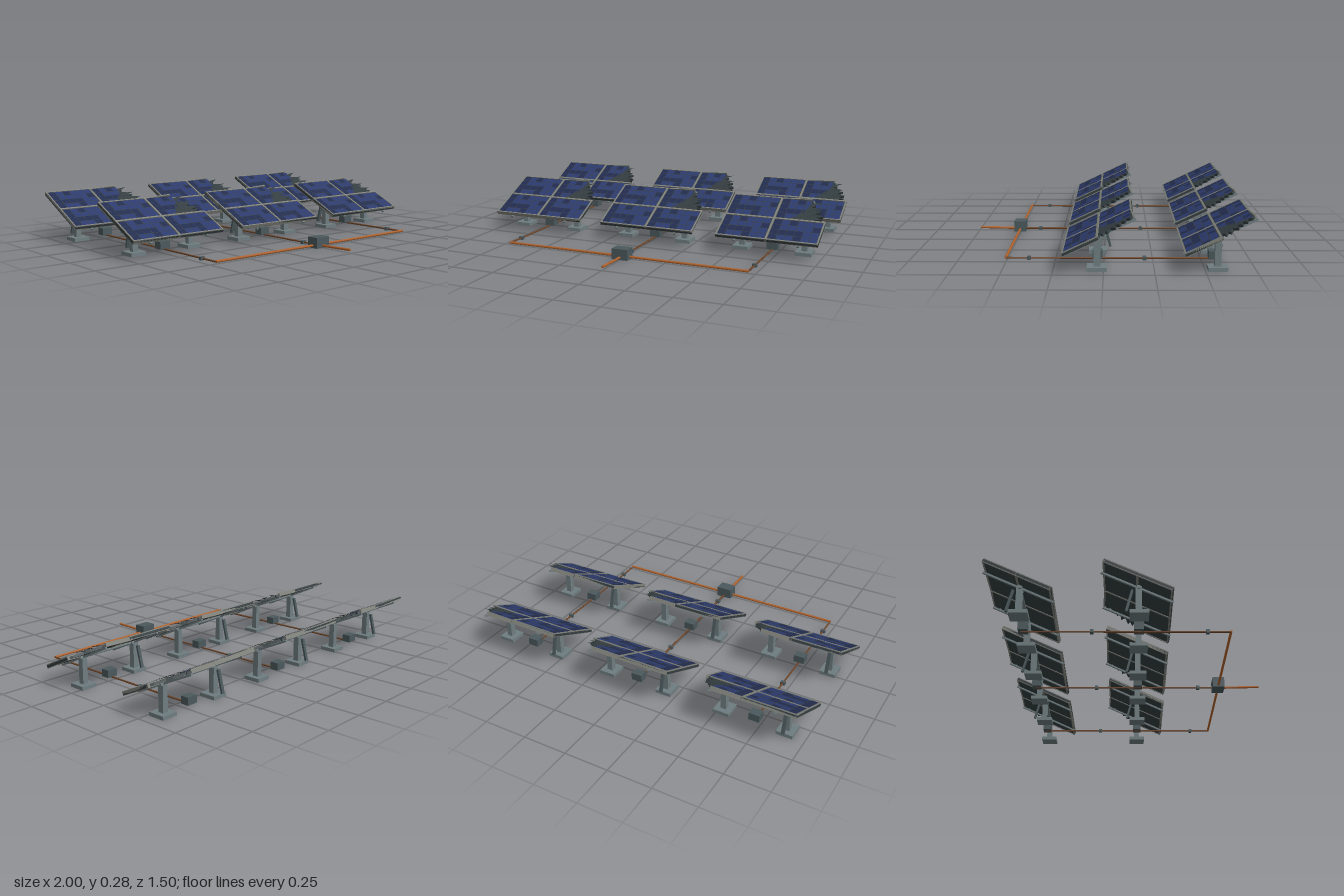
import * as THREE from 'three';
import { mergeGeometries } from 'three/addons/utils/BufferGeometryUtils.js';

const mat = (color, extra = {}) => new THREE.MeshStandardMaterial({ color, ...extra });
const steel = mat(0x6f7d80), boxGrey = mat(0x4a585c), frameGrey = mat(0x7f817a);
const backing = mat(0x343d40, { flatShading: true }), copper = mat(0xb0622c), wire = mat(0x6e4426);
const blues = [mat(0x2b3a70), mat(0x222c50)];

const HALF_W = 0.287, HALF_L = 0.19, TILT = THREE.MathUtils.degToRad(25.5);

function add(parent, name, geometry, material, x = 0, y = 0, z = 0) {
  const mesh = new THREE.Mesh(geometry, material);
  mesh.name = name;
  mesh.position.set(x, y, z);
  parent.add(mesh);
  return mesh;
}
const box = (parent, name, material, w, h, d, x, y, z) =>
  add(parent, name, new THREE.BoxGeometry(w, h, d), material, x, y, z);

// round bar between two points
function bar(parent, name, material, a, b, radius, sides = 8) {
  const p = new THREE.Vector3(...a), q = new THREE.Vector3(...b);
  const mesh = add(parent, name, new THREE.CylinderGeometry(radius, radius, p.distanceTo(q), sides), material);
  mesh.position.copy(p).add(q).multiplyScalar(0.5);
  mesh.quaternion.setFromUnitVectors(new THREE.Vector3(0, 1, 0), q.sub(p).normalize());
  return mesh;
}

const polygon = (points) => new THREE.Shape(points.map(([x, y]) => new THREE.Vector2(x, y)));

// solar cells of the four quadrants; those in the damaged one are cut along a slanted break
function addCells(panel) {
  const cols = 6, rows = 4, gap = 0.0018, rim = 0.008;
  const sorted = [[], []];
  for (const sx of [-1, 1]) for (const sy of [-1, 1]) {
    const damaged = sx > 0 && sy > 0;
    const limit = (v) => (damaged ? Math.min(0.172, 0.085 + v * 0.75) : 1);
    const cw = (HALF_W - 2 * rim) / cols, ch = (HALF_L - 2 * rim) / rows;
    const x0 = sx > 0 ? rim : rim - HALF_W, y0 = sy > 0 ? rim : rim - HALF_L;
    for (let i = 0; i < cols; i++) for (let j = 0; j < rows; j++) {
      const l = x0 + i * cw + gap, r = x0 + (i + 1) * cw - gap;
      const b = y0 + j * ch + gap, t = y0 + (j + 1) * ch - gap;
      if (l >= limit(t)) continue;
      const rb = Math.max(l, Math.min(r, limit(b))), rt = Math.min(r, limit(t));
      const corners = rb > l ? [[l, b], [rb, b], [rt, t], [l, t]] : [[l, b], [rt, t], [l, t]];
      const g = new THREE.ShapeGeometry(polygon(corners)).rotateX(-Math.PI / 2);
      sorted[(i * 5 + j * 3 + (i * j) % 4) % 3 === 0 ? 1 : 0].push(g);
    }
  }
  sorted.forEach((list, k) => add(panel, k ? 'darkCells' : 'cells', mergeGeometries(list), blues[k], 0, -0.001, 0));
}

function createPanel() {
  const panel = new THREE.Group();
  panel.name = 'solarPanel';

  // backing sheet with a torn upper corner
  const outline = [
    [-HALF_W, -HALF_L], [HALF_W, -HALF_L], [HALF_W, 0.004], [0.215, 0.012], [0.263, 0.026],
    [0.228, 0.04], [0.262, 0.052], [0.21, 0.068], [0.246, 0.094], [0.192, 0.098],
    [0.222, 0.118], [0.18, 0.126], [0.202, 0.146], [0.168, 0.154], [0.184, 0.176],
    [0.165, HALF_L], [-HALF_W, HALF_L],
  ];
  const sheet = new THREE.ExtrudeGeometry(polygon(outline), { depth: 0.014, bevelEnabled: false });
  add(panel, 'backingSheet', sheet.rotateX(-Math.PI / 2), backing, 0, -0.018, 0);
  addCells(panel);

  // bent shards lifted from the torn edge
  for (const [x, v, s, turn] of [[0.2, 0.15, 0.035, 0.3], [0.215, 0.095, 0.04, 0.1], [0.225, 0.045, 0.045, -0.1]]) {
    const tri = new THREE.ShapeGeometry(polygon([[-s, -s * 0.4], [s, 0], [-s * 0.7, s * 0.45]]));
    const shard = add(panel, 'tornShard', tri, mat(0x343d40, { side: THREE.DoubleSide }), x, 0.003, -v);
    shard.rotation.set(-Math.PI / 2, -0.12, turn);
  }

  // frame rails
  const t = 0.008, h = 0.022;
  const rail = (w, d, x, z) => box(panel, 'frameRail', frameGrey, w, h, d, x, -h / 2 + 0.001, z);
  rail(2 * HALF_W, t, 0, HALF_L - t / 2);
  rail(t, 2 * HALF_L, t / 2 - HALF_W, 0);
  rail(t, HALF_L, HALF_W - t / 2, HALF_L / 2);
  rail(2 * HALF_W, t * 1.4, 0, 0);
  rail(t * 1.4, 2 * HALF_L, 0, 0);
  rail(HALF_W, t, -HALF_W / 2, t / 2 - HALF_L);
  const bent = rail(0.175, t, 0.087, -HALF_L);
  bent.rotation.set(0, 0.05, 0.02);

  // support rails under the sheet
  for (const x of [-0.18, 0.18]) box(panel, 'supportRail', steel, 0.012, 0.01, 0.4, x, -0.024, 0);

  panel.position.set(0, 0.19, 0.032);
  panel.rotation.x = TILT;
  return panel;
}

function createUnit() {
  const unit = new THREE.Group();
  unit.name = 'panelUnit';
  unit.add(createPanel());
  for (const x of [-0.18, 0.18]) {
    box(unit, 'footing', steel, 0.092, 0.02, 0.096, x, 0.01, 0.034);
    box(unit, 'post', steel, 0.032, 0.14, 0.032, x, 0.09, 0.032);
    bar(unit, 'pivot', steel, [x - 0.022, 0.163, 0.034], [x + 0.022, 0.163, 0.034], 0.013, 12);
  }
  bar(unit, 'crossTube', steel, [-0.2, 0.163, 0.034], [0.2, 0.163, 0.034], 0.007);
  // rear brace
  const brace = box(unit, 'brace', boxGrey, 0.018, 0.125, 0.012, -0.18, 0.091, -0.016);
  brace.rotation.x = 0.25;
  box(unit, 'junctionBox', boxGrey, 0.062, 0.042, 0.05, 0, 0.034, 0.034);
  return unit;
}

export function createModel() {
  const model = new THREE.Group();
  model.name = 'solarArray';
  const unit = createUnit();
  const columns = [-0.712, 0, 0.712], rows = [0, -0.594];

  // six panel units with their feeder cables
  for (const x of columns) {
    for (const z of rows) {
      const copy = unit.clone();
      copy.position.set(x, 0, z);
      model.add(copy);
      box(model, 'cableClip', boxGrey, 0.026, 0.018, 0.018, x, 0.012, z + 0.386);
    }
    bar(model, 'feederCable', wire, [x, 0.012, 0.505], [x, 0.012, -0.57], 0.005);
  }

  // trunk cable, main box and outgoing cable
  bar(model, 'trunkCable', copper, [-0.715, 0.014, 0.505], [0.715, 0.014, 0.505], 0.007);
  box(model, 'mainBox', boxGrey, 0.092, 0.06, 0.068, 0, 0.03, 0.505);
  bar(model, 'outgoingCable', copper, [0, 0.012, 0.505], [0, 0.018, 0.742], 0.007);
  return model;
}
